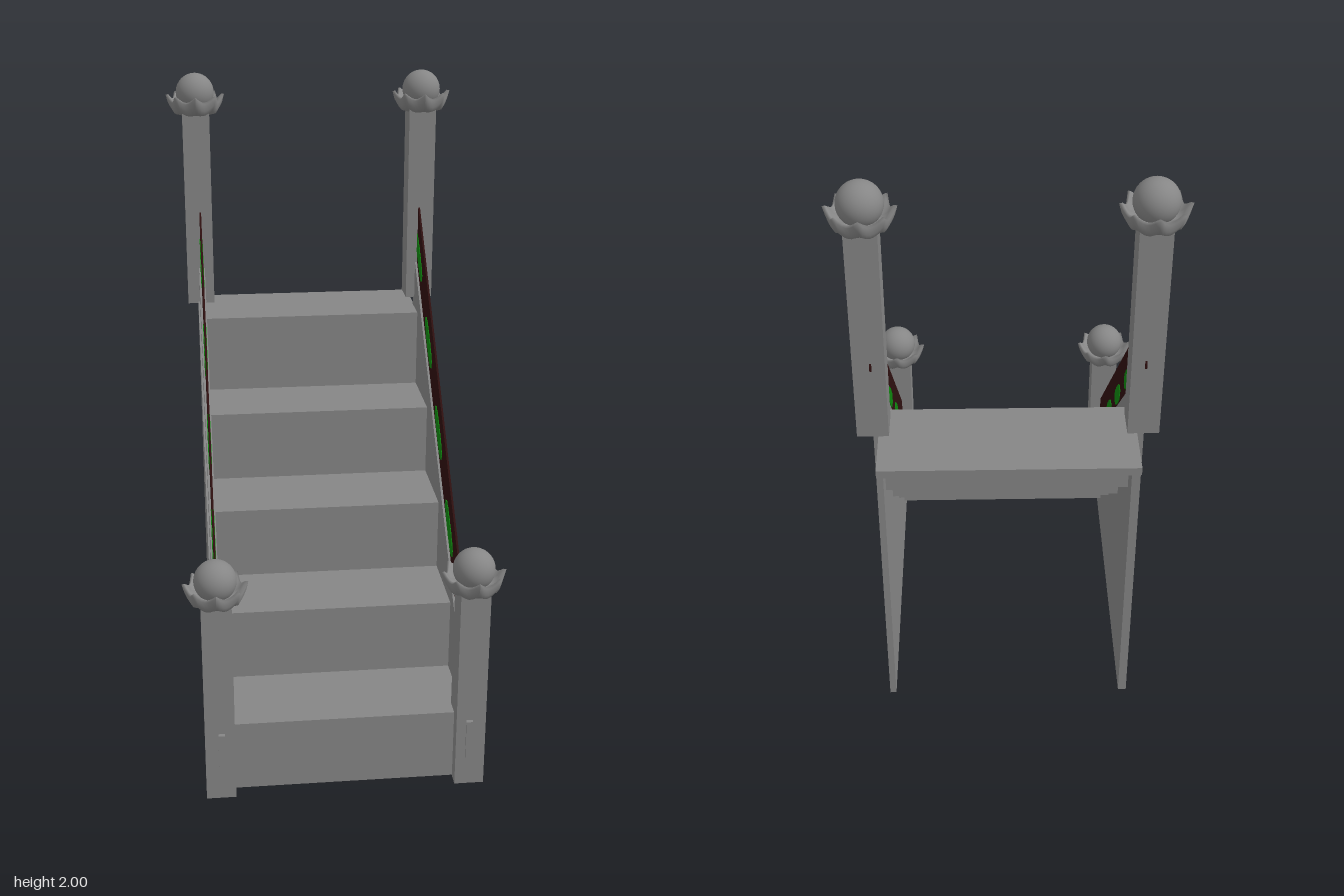
import * as THREE from 'three';

const grey = new THREE.MeshStandardMaterial({ color: 0x868686, side: THREE.DoubleSide });
const darkWood = new THREE.MeshStandardMaterial({ color: 0x2f1010 });
const green = new THREE.MeshStandardMaterial({ color: 0x0e880e });

function mesh(name, geometry, material = grey) {
  const m = new THREE.Mesh(geometry, material);
  m.name = name;
  return m;
}

// Extrudes a side outline given as [z, y] points across the width from x0 to x1
function sideSlab(name, points, x0, x1, material) {
  const shape = new THREE.Shape(points.map(([z, y]) => new THREE.Vector2(-z, y)));
  const geo = new THREE.ExtrudeGeometry(shape, { depth: x1 - x0, bevelEnabled: false });
  geo.rotateY(Math.PI / 2);
  geo.translate(x0, 0, 0);
  return mesh(name, geo, material);
}

// Eight-petalled cup: a lathed bowl whose rim is scooped in and down between pointed tips
function petalCup() {
  const profile = [[0.02, 0.645], [0.055, 0.648], [0.078, 0.664], [0.09, 0.684], [0.097, 0.71],
    [0.088, 0.712], [0.074, 0.69], [0.05, 0.677], [0, 0.675]];
  const geo = new THREE.LatheGeometry(profile.map(p => new THREE.Vector2(...p)), 48);
  const pos = geo.attributes.position;
  for (let i = 0; i < pos.count; i++) {
    const x = pos.getX(i), y = pos.getY(i), z = pos.getZ(i);
    const valley = Math.abs(Math.sin(4 * Math.atan2(x, z)));
    const rim = THREE.MathUtils.clamp((Math.hypot(x, z) - 0.05) / 0.045, 0, 1);
    const s = 1 - 0.14 * valley * rim;
    pos.setXYZ(i, x * s, y - 0.022 * valley * rim, z * s);
  }
  geo.computeVertexNormals();
  return mesh('petalCup', geo);
}

// Square post with petal cup and ball
function post(name, x, y, z) {
  const g = new THREE.Group();
  g.name = name;
  const shaft = mesh('postShaft', new THREE.BoxGeometry(0.09, 0.67, 0.096));
  shaft.position.y = 0.335;
  const ball = mesh('ball', new THREE.SphereGeometry(0.063, 32, 20));
  ball.position.y = 0.717;
  g.add(shaft, petalCup(), ball);
  g.position.set(x, y, z);
  return g;
}

// Ragged, blunt-ended inlay that shows on both faces of the rail
function inlay(x, y, z) {
  const pts = [];
  for (let i = 0; i < 28; i++) {
    const a = (i / 28) * Math.PI * 2;
    const r = i % 2 ? 0.95 : 1.04;
    const c = Math.cos(a), s = Math.sin(a);
    pts.push(new THREE.Vector2(0.093 * r * c, 0.028 * r * Math.sign(s) * Math.pow(Math.abs(s), 0.55)));
  }
  const geo = new THREE.ExtrudeGeometry(new THREE.Shape(pts), { depth: 0.01, bevelEnabled: false });
  geo.translate(0, 0, -0.005);
  geo.rotateZ(Math.PI * 0.25);
  geo.rotateY(Math.PI / 2);
  const m = mesh('railInlay', geo, green);
  m.position.set(x, y, z);
  return m;
}

export function createModel() {
  const model = new THREE.Group();
  model.name = 'staircase';

  // Stair flight: one thin folded board, traced up the top and back down the underside
  const riserZ = [0.615, 0.345, 0.09, -0.175, -0.42];
  const treadY = [0.23, 0.46, 0.692, 0.925, 1.185];
  const t = 0.025;
  const top = [[riserZ[0], 0.003]], under = [[riserZ[0] - t, 0.003]];
  riserZ.forEach((z, i) => {
    const end = i < 4 ? riserZ[i + 1] : -0.704;
    top.push([z, treadY[i]], [end, treadY[i]]);
    under.push([z - t, treadY[i] - t], [i < 4 ? end - t : end, treadY[i] - t]);
  });
  model.add(sideSlab('stairFlight', [...top, ...under.reverse()], -0.37, 0.37, grey));

  for (const s of [-1, 1]) {
    // Posts
    const side = s > 0 ? 'left' : 'right';
    model.add(post(side + 'FrontPost', s * 0.381, 0, 0.609));
    model.add(post(side + 'BackPost', s * 0.381, 1.22, -0.543));

    // Side panel, its low end running through the front post
    const xs = [s * 0.366, s * 0.386].sort((a, b) => a - b);
    model.add(sideSlab(side + 'SidePanel',
      [[0.662, 0.096], [0.662, 0.222], [-0.524, 1.374], [-0.524, 0.096]], xs[0], xs[1], grey));

    // Sloping rail with inlays
    const x = s * 0.376;
    model.add(sideSlab(side + 'Rail',
      [[0.60, 0.28], [0.60, 0.45], [-0.55, 1.595], [-0.594, 1.46], [-0.594, 1.445]],
      x - 0.003, x + 0.003, darkWood));
    for (let i = 0; i < 5; i++) {
      model.add(inlay(x, 0.442 + i * 0.2335, 0.48 - i * 0.2325));
    }
  }

  // Raised lower face on the right-hand panel
  model.add(sideSlab('rightPanelFace',
    [[0.60, 0.096], [0.60, 0.12], [-0.524, 1.254], [-0.524, 0.096]], -0.392, -0.385, grey));

  return model;
}
